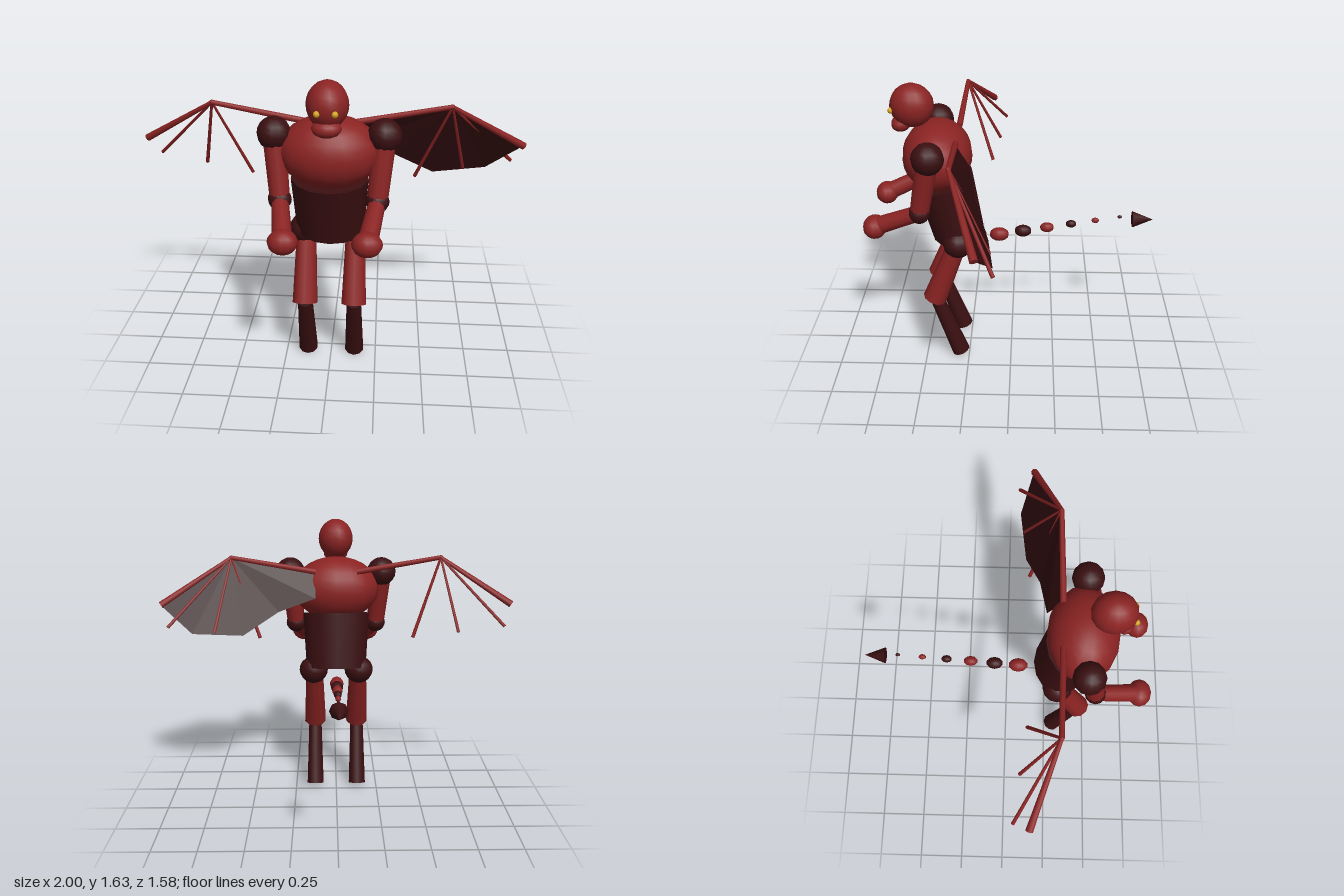
import * as THREE from 'three';

const mat = (name, color, extra = {}) => {
  const m = new THREE.MeshStandardMaterial({ color, ...extra });
  m.name = name;
  return m;
};

export function createModel() {
  const root = new THREE.Group();
  root.name = 'wingedCreature';
  const red = mat('red skin', 0x8b2323);
  const dark = mat('dark hide', 0x3a0f11);
  const web = mat('wing membrane', 0x300c0e, { side: THREE.DoubleSide });
  const gold = mat('gold eye', 0xd4a520);

  const add = (name, geo, material) => {
    const m = new THREE.Mesh(geo, material);
    m.name = name;
    root.add(m);
    return m;
  };
  // Ellipsoid at p with half sizes r
  const ball = (name, p, r, material, seg = 12) => {
    const m = add(name, new THREE.SphereGeometry(1, seg, Math.max(6, seg - 2)), material);
    m.position.set(...p);
    m.scale.set(...r);
    return m;
  };
  // Tapered rod from a (radius ra) to b (radius rb)
  const rod = (name, a, b, ra, rb, material, seg = 10) => {
    const A = new THREE.Vector3(...a), B = new THREE.Vector3(...b);
    const d = B.clone().sub(A);
    const m = add(name, new THREE.CylinderGeometry(rb, ra, d.length(), seg), material);
    m.position.copy(A).add(B).multiplyScalar(0.5);
    m.quaternion.setFromUnitVectors(new THREE.Vector3(0, 1, 0), d.normalize());
    return m;
  };

  // Body, leaning forward
  const belly = add('belly', new THREE.CylinderGeometry(0.2, 0.18, 0.328, 14), dark);
  belly.scale.z = 0.8;
  belly.position.set(0, 0.942, 0.333);
  belly.rotation.x = 0.21;
  ball('chest', [0, 1.245, 0.397], [0.255, 0.187, 0.187], red, 16).rotation.x = 0.21;

  // Head
  ball('head', [0, 1.522, 0.519], [0.102, 0.116, 0.116], red, 14);
  ball('jaw', [0, 1.425, 0.578], [0.072, 0.043, 0.055], red).rotation.x = 0.2;

  for (const s of [1, -1]) {
    const side = s > 0 ? 'left' : 'right';
    ball(side + 'Eye', [s * 0.042, 1.507, 0.624], [0.016, 0.016, 0.016], gold, 8);

    // Arm
    const shoulder = [s * 0.27, 1.34, 0.415], elbow = [s * 0.242, 1.017, 0.478], wrist = [s * 0.2, 0.907, 0.728];
    ball(side + 'Shoulder', shoulder, [0.085, 0.085, 0.085], dark);
    rod(side + 'UpperArm', shoulder, elbow, 0.06, 0.052, red);
    ball(side + 'Elbow', elbow, [0.06, 0.057, 0.058], dark);
    rod(side + 'Forearm', elbow, wrist, 0.043, 0.05, red);
    ball(side + 'Hand', wrist, [0.075, 0.063, 0.064], red);

    // Leg
    ball(side + 'Hip', [s * 0.135, 0.77, 0.293], [0.085, 0.082, 0.085], dark);
    rod(side + 'Thigh', [s * 0.13, 0.77, 0.293], [s * 0.13, 0.398, 0.438], 0.052, 0.068, red);
    rod(side + 'Shin', [s * 0.13, 0.398, 0.428], [s * 0.13, 0.02, 0.3], 0.04, 0.053, dark);

    // Wing bones and fingers
    const joint = [s * 0.6, 1.445, 0.272];
    rod(side + 'WingArm', [s * 0.12, 1.36, 0.286], joint, 0.017, 0.013, red, 8);
    rod(side + 'WingEdge', joint, [s * 0.99, 1.2, 0.135], 0.011, 0.02, red, 8);
    ball(side + 'WingJoint', joint, [0.013, 0.013, 0.013], red, 8);
    for (const tip of [[0.943, 1.09, 0.057], [0.69, 1.05, 0.087], [0.435, 1.012, 0.122]])
      rod(side + 'WingFinger', joint, [s * tip[0], tip[1], tip[2]], 0.007, 0.01, red, 6);
  }

  // Membrane: a fan of triangles around the left wing joint
  const rim = [[0.12, 1.36, 0.286], [0.12, 1.22, 0.21], [0.33, 1.15, 0.175],
    [0.53, 1.03, 0.1], [0.81, 1.05, 0.065], [0.99, 1.2, 0.132]];
  const fan = [];
  for (let i = 0; i < rim.length - 1; i++) fan.push(0.6, 1.445, 0.27, ...rim[i], ...rim[i + 1]);
  const webGeo = new THREE.BufferGeometry();
  webGeo.setAttribute('position', new THREE.Float32BufferAttribute(fan, 3));
  webGeo.computeVertexNormals();
  add('leftWingMembrane', webGeo, web);

  // Tail beads shrinking toward a pointed tip
  [0.039, 0.034, 0.028, 0.021, 0.015, 0.009].forEach((r, i) => {
    ball('tailBead', [0, 0.752 + i * 0.0244, 0.07 - i * 0.1346], [r, r, r * 1.42], i % 2 ? dark : red, 10);
  });
  const tip = add('tailTip', new THREE.ConeGeometry(0.047, 0.115, 8), dark);
  tip.position.set(0, 0.86, -0.731);
  tip.rotation.x = -Math.PI / 2;

  return root;
}
